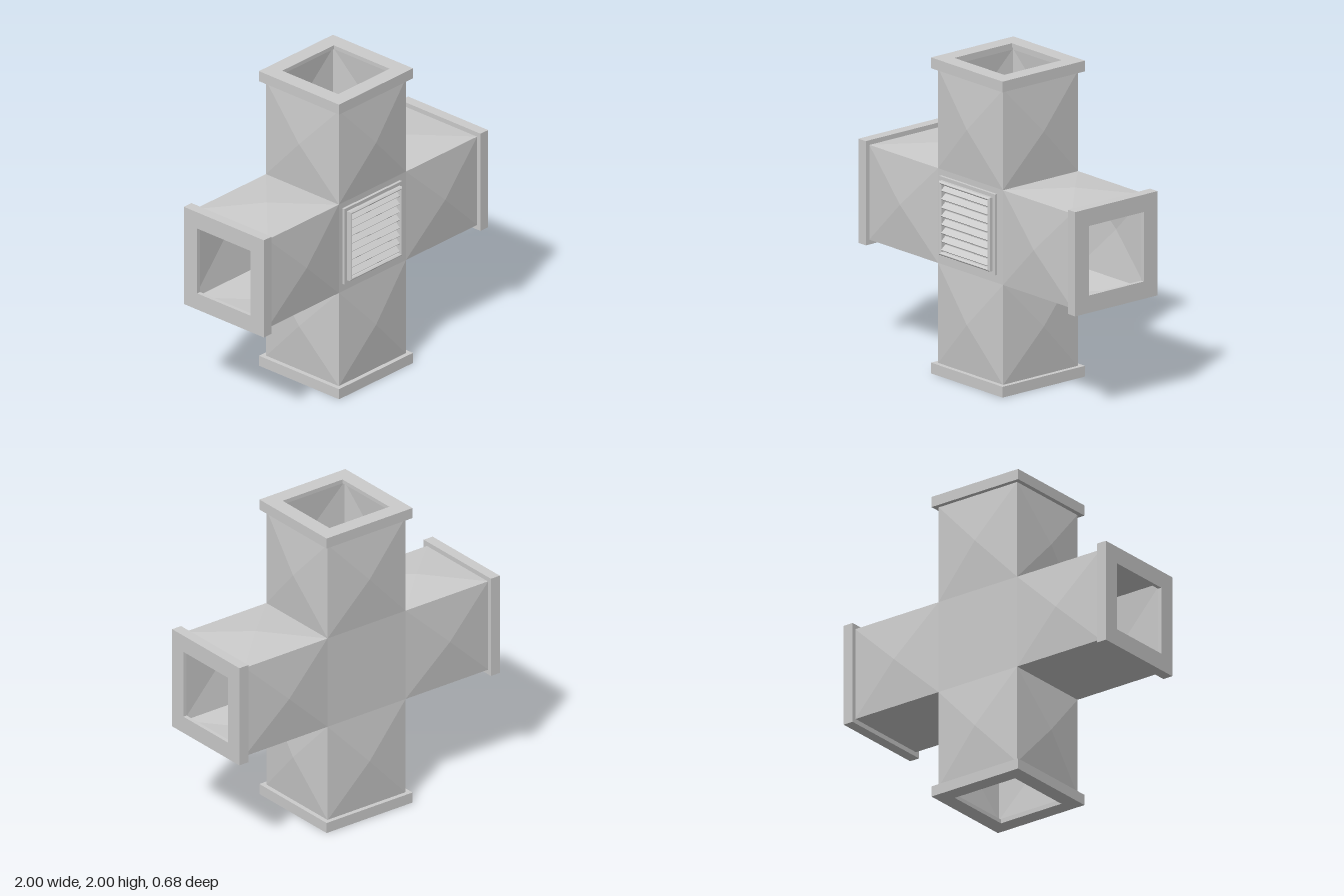
import * as THREE from 'three';

const material = new THREE.MeshStandardMaterial({ color: 0xcccccc, flatShading: true, side: THREE.DoubleSide });
const HALF = 0.3;      // half width of the duct
const BULGE = 0.33;    // height of each panel's raised middle
const Z = -0.007;      // depth of the duct axis

function add(parent, name, geometry, x = 0, y = 0, z = 0) {
  const mesh = new THREE.Mesh(geometry, material);
  mesh.name = name;
  mesh.position.set(x, y, z);
  parent.add(mesh);
  return mesh;
}

function square(PathType, half) {
  return new PathType([[-1, -1], [1, -1], [1, 1], [-1, 1]].map(([x, y]) => new THREE.Vector2(x * half, y * half)));
}

// square ring lying in the xy plane, extruded along +z
function ring(outer, inner, depth, bevel = 0) {
  const shape = square(THREE.Shape, outer - bevel);
  shape.holes.push(square(THREE.Path, inner + bevel));
  return new THREE.ExtrudeGeometry(shape, {
    depth: depth - bevel, bevelEnabled: bevel > 0, bevelSize: bevel, bevelThickness: bevel, bevelSegments: 1,
  });
}

// open square tube along +y, every side a shallow outward pyramid
function panelTube(y0, y1) {
  const points = [];
  for (let i = 0; i < 4; i++) {
    const turn = (x, y, z) => new THREE.Vector3(x, y, z).applyAxisAngle(new THREE.Vector3(0, 1, 0), i * Math.PI / 2);
    const corners = [turn(-HALF, y0, HALF), turn(HALF, y0, HALF), turn(HALF, y1, HALF), turn(-HALF, y1, HALF)];
    const apex = turn(0, (y0 + y1) / 2, BULGE);
    corners.forEach((c, k) => points.push(c, corners[(k + 1) % 4], apex));
  }
  const geometry = new THREE.BufferGeometry().setFromPoints(points);
  geometry.computeVertexNormals();
  return geometry;
}

// one branch of the cross with its end flange, pointing up
function createArm(opening) {
  const arm = new THREE.Group();
  add(arm, 'ductPanels', panelTube(HALF, 0.935));
  add(arm, 'flangeCollar', ring(0.33, 0.295, 0.043).rotateX(-Math.PI / 2), 0, 0.932, 0);
  add(arm, 'flangeLip', ring(0.33, opening, 0.025).rotateX(-Math.PI / 2), 0, 0.975, 0);
  return arm;
}

// louvred grille on the front of the junction
function createVent() {
  const vent = new THREE.Group();
  vent.name = 'vent';
  add(vent, 'ventBasePlate', ring(0.256, 0.218, 0.018));
  add(vent, 'ventFrame', ring(0.234, 0.214, 0.046, 0.008));
  const count = 8, pitch = 0.43 / count;
  for (let i = 0; i < count; i++) {
    const slat = add(vent, 'ventSlat', new THREE.BoxGeometry(0.44, 0.007, 0.044), 0, (i - (count - 1) / 2) * pitch, 0.021);
    slat.rotation.x = 0.7;
  }
  return vent;
}

export function createModel() {
  const model = new THREE.Group();
  model.name = 'ductCross';

  const duct = new THREE.Group();
  duct.name = 'duct';
  duct.position.set(0, 1, Z);
  model.add(duct);

  // four branches
  ['topArm', 'leftArm', 'bottomArm', 'rightArm'].forEach((name, i) => {
    const arm = createArm(i % 2 ? 0.22 : 0.23);
    arm.name = name;
    arm.rotation.z = -i * Math.PI / 2;
    duct.add(arm);
  });

  // flat walls of the junction
  add(duct, 'frontWall', new THREE.PlaneGeometry(2 * HALF, 2 * HALF), 0, 0, HALF);
  add(duct, 'backWall', new THREE.PlaneGeometry(2 * HALF, 2 * HALF).rotateY(Math.PI), 0, 0, -HALF);

  const vent = createVent();
  vent.position.set(-0.012, 0.007, HALF);
  duct.add(vent);

  return model;
}
